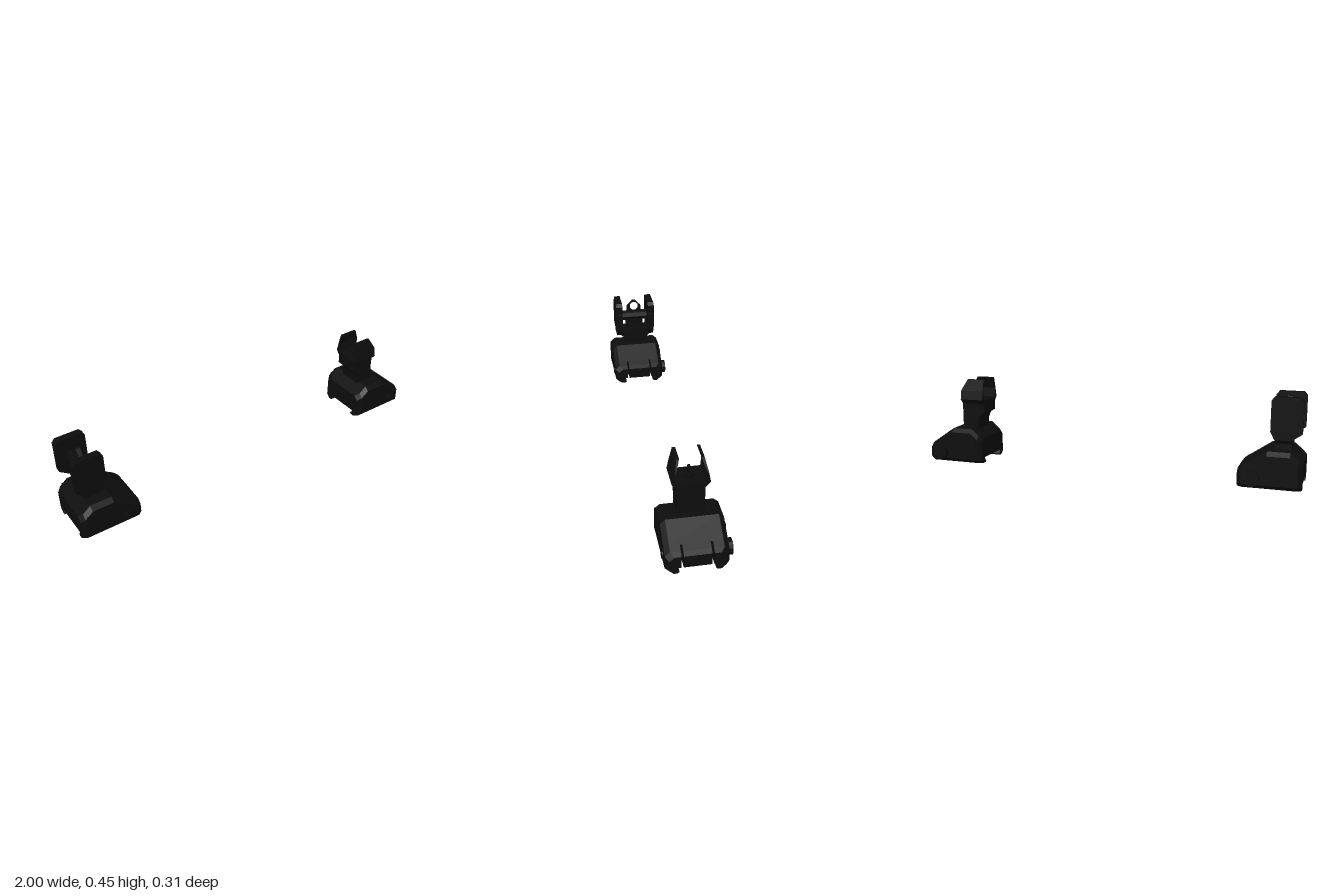
import * as THREE from 'three';

const black = new THREE.MeshStandardMaterial({ color: 0x0d0d0d });
black.name = 'matte black';
const V = (p) => new THREE.Vector2(p[0], p[1]);

function add(group, name, geometry) {
  const g = geometry.index ? geometry.toNonIndexed() : geometry;
  g.computeVertexNormals();
  const mesh = new THREE.Mesh(g, black);
  mesh.name = name;
  group.add(mesh);
  return mesh;
}

// outline in (x, y), pushed along z
function extrudeZ(pts, z0, z1, holes = []) {
  const shape = new THREE.Shape(pts.map(V));
  holes.forEach((h) => shape.holes.push(new THREE.Path(h.map(V))));
  return new THREE.ExtrudeGeometry(shape, { depth: z1 - z0, bevelEnabled: false }).translate(0, 0, z0);
}

// outline in (z, y), pushed along x
function extrudeX(pts, x0, x1, holes = []) {
  const flip = (list) => list.map(([z, y]) => [-z, y]);
  return extrudeZ(flip(pts), x0, x1, holes.map(flip)).rotateY(Math.PI / 2);
}

function box(x0, x1, y0, y1, z0, z1) {
  return new THREE.BoxGeometry(x1 - x0, y1 - y0, z1 - z0)
    .translate((x0 + x1) / 2, (y0 + y1) / 2, (z0 + z1) / 2);
}

// cylinder lying along z
function barrel(x, y, r, z0, z1, sides) {
  return new THREE.CylinderGeometry(r, r, z1 - z0, sides)
    .rotateX(Math.PI / 2).translate(x, y, (z0 + z1) / 2);
}

const mirrored = (half) => [...half, ...half.map(([z, y]) => [-z, y]).reverse()];

// skin between counterclockwise (z, y) sections, with flat end caps
function loft(sections, xs) {
  const pos = [];
  const put = (j, i) => pos.push(xs[j], sections[j][i][1], sections[j][i][0]);
  const n = sections[0].length, last = xs.length - 1;
  for (let j = 0; j < last; j++) {
    for (let i = 0; i < n; i++) {
      const k = (i + 1) % n;
      put(j, i); put(j + 1, i); put(j, k);
      put(j, k); put(j + 1, i); put(j + 1, k);
    }
  }
  for (const j of [0, last]) {
    for (const [a, b, c] of THREE.ShapeUtils.triangulateShape(sections[j].map(V), [])) {
      put(j, a); put(j, j ? c : b); put(j, j ? b : c);
    }
  }
  const g = new THREE.BufferGeometry();
  g.setAttribute('position', new THREE.Float32BufferAttribute(pos, 3));
  return g;
}

// half of the clamp section, from the rail groove round to the top
const clampHalf = (h, w) => [
  [0.09, 0.03], [0.095, 0.025], [0.08, 0.008], [0.087, 0],
  [w - 0.02, 0], [w, 0.02], [w, h - 0.02], [w - 0.023, h],
];

// rail clamp shared by both sights: x runs from 0 to 0.31
function makeBase() {
  const base = new THREE.Group();
  base.name = 'railClamp';
  const body = [[0, 0.135, 0.125], [0.02, 0.152, 0.142], [0.06, 0.185, 0.142], [0.17, 0.185, 0.142], [0.265, 0.12, 0.142]];
  const tail = [[0.265, 0.12, 0.142], [0.29, 0.104, 0.142], [0.31, 0.09, 0.125]];
  const xs = (list) => list.map((s) => s[0]);
  add(base, 'clampBody', loft(body.map(([, h, w]) => mirrored(clampHalf(h, w))), xs(body)));

  // low end, split by two slots
  const jaws = tail.map(([, h, w]) => [[0.072, 0.03], ...clampHalf(h, w), [0.072, h]]);
  add(base, 'leftJaw', loft(jaws, xs(tail)));
  add(base, 'rightJaw', loft(jaws.map((s) => s.map(([z, y]) => [-z, y]).reverse()), xs(tail)));
  add(base, 'centreTongue', loft(tail.map(([, h]) => mirrored([[0.062, 0.03], [0.062, h]])), xs(tail)));

  // side pads, clamp screw and its knob
  for (const s of [-1, 1]) {
    add(base, 'sidePad', box(0.03, 0.2, 0.09, 0.145, s * 0.1425 - 0.0025, s * 0.1425 + 0.0025));
  }
  add(base, 'clampKnob', barrel(0.235, 0.053, 0.0375, -0.165, -0.135, 16));
  add(base, 'screwEnd', barrel(0.235, 0.053, 0.023, 0.135, 0.147, 12));
  return base;
}

function makeRearSight() {
  const sight = new THREE.Group();
  sight.name = 'rearSight';
  sight.add(makeBase());

  // neck flaring into the head
  add(sight, 'neck', extrudeX(mirrored([[0.062, 0.17], [0.062, 0.215], [0.088, 0.24], [0.088, 0.277]]), 0.06, 0.14));
  add(sight, 'neckTop', box(0.06, 0.12, 0.27, 0.325, -0.05, 0.05));

  // protective wings with adjustment wheels
  const wing = [[0.06, 0.24], [0.14, 0.24], [0.16, 0.28], [0.16, 0.43], [0.145, 0.448],
    [0.025, 0.448], [0.01, 0.43], [0.01, 0.275]];
  const panel = [[0.03, 0.28], [0.14, 0.28], [0.15, 0.29], [0.15, 0.425], [0.14, 0.435],
    [0.03, 0.435], [0.02, 0.425], [0.02, 0.29]];
  for (const s of [-1, 1]) {
    const span = (a, b) => (s > 0 ? [a, b] : [-b, -a]);
    add(sight, 'wing', extrudeZ(wing, ...span(0.077, 0.111)));
    add(sight, 'wingPanel', extrudeZ(panel, ...span(0.11, 0.115)));
    add(sight, 'adjustmentWheel', barrel(0.085, 0.36, 0.078, ...span(0.086, 0.102), 14));
  }

  // crossbar and peep plate
  add(sight, 'crossbar', barrel(0.085, 0.346, 0.031, -0.08, 0.08, 8));
  const hole = Array.from({ length: 8 }, (_, i) => {
    const a = (i + 0.5) * Math.PI / 4;
    return [0.026 * Math.cos(a), 0.408 + 0.026 * Math.sin(a)];
  });
  add(sight, 'peepPlate', extrudeX(mirrored([[0.042, 0.33], [0.042, 0.405], [0.008, 0.441]]), 0.075, 0.095, [hole]));
  return sight;
}

function makeFrontSight() {
  const sight = new THREE.Group();
  sight.name = 'frontSight';
  sight.add(makeBase());

  // stem stepping forward under the ears
  add(sight, 'stem', extrudeZ([[0.05, 0.17], [0.14, 0.17], [0.14, 0.335], [0.01, 0.335],
    [0.01, 0.27], [0.035, 0.255], [0.05, 0.22]], -0.062, 0.062));

  // ears leaning inward, sloped at the top of one side
  const half = [[0.062, 0.315], [0.085, 0.34], [0.076, 0.388], [0.062, 0.448], [0.048, 0.448], [0.07, 0.388], [0.066, 0.338]];
  const ears = extrudeX(mirrored(half), 0.01, 0.14);
  const p = ears.attributes.position;
  for (let i = 0; i < p.count; i++) {
    if (p.getY(i) > 0.44 && p.getX(i) > 0.1) p.setX(i, 0.105);
  }
  add(sight, 'ears', ears);

  // aiming post
  add(sight, 'postSeat', new THREE.CylinderGeometry(0.024, 0.024, 0.02, 12).translate(0.075, 0.343, 0));
  add(sight, 'aimingPost', box(0.068, 0.082, 0.33, 0.391, -0.0065, 0.0065));
  return sight;
}

export function createModel() {
  const model = new THREE.Group();
  model.name = 'flipUpSights';
  const rear = makeRearSight(), front = makeFrontSight();
  rear.position.set(-1, 0, 0.01);
  front.position.set(0.69, 0, 0.01);
  model.add(rear, front);
  return model;
}
